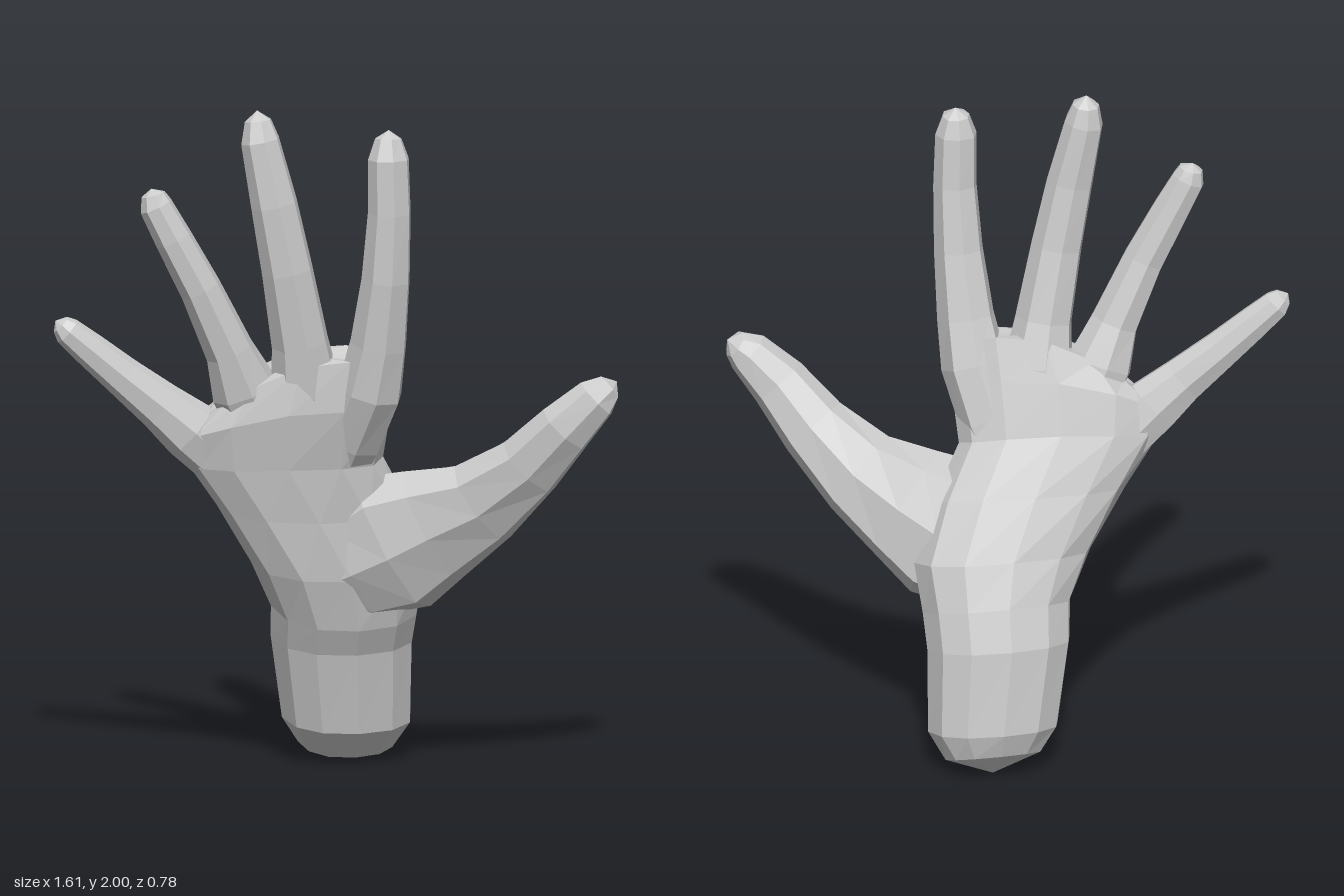
import * as THREE from 'three';

const V = (x, y, z) => new THREE.Vector3(x, y, z);
const material = new THREE.MeshStandardMaterial({ color: 0xcccccc, flatShading: true, side: THREE.DoubleSide });

// Skin a stack of rings and close both ends with fans
function loft(name, rings, startTip, endTip) {
  const n = rings[0].length;
  const points = [...rings.flat(), startTip, endTip];
  const start = points.length - 2, end = points.length - 1, last = (rings.length - 1) * n;
  const index = [];
  for (let j = 0; j < n; j++) {
    const k = (j + 1) % n;
    for (let i = 0; i < rings.length - 1; i++) {
      const a = i * n + j, b = i * n + k, c = b + n, d = a + n;
      index.push(a, d, b, b, d, c);
    }
    index.push(start, j, k, end, last + k, last + j);
  }
  const geometry = new THREE.BufferGeometry().setFromPoints(points);
  geometry.setIndex(index);
  geometry.computeVertexNormals();
  const mesh = new THREE.Mesh(geometry, material);
  mesh.name = name;
  return mesh;
}

// Slightly squared ellipse around a centre; bow lifts the middle of the ring
function ring(centre, w, n, rw, rn, sides, bow = 0) {
  const round = (v) => Math.sign(v) * Math.pow(Math.abs(v), 0.88);
  return Array.from({ length: sides }, (_, j) => {
    const a = (j / sides) * Math.PI * 2, u = round(Math.cos(a)), v = round(Math.sin(a));
    const p = centre.clone().addScaledVector(w, u * rw).addScaledVector(n, v * rn);
    p.y += bow * (1 - u * u);
    return p;
  });
}

const tangent = (list, i) =>
  list[Math.min(i + 1, list.length - 1)].clone().sub(list[Math.max(i - 1, 0)]).normalize();

// Digit: stations are [x, y, z, half width, half depth], then a small apex
function digit(name, stations, tip) {
  const centres = stations.map(([x, y, z]) => V(x, y, z));
  const path = [...centres, V(...tip)];
  const rings = stations.map(([, , , rw, rn], i) => {
    const t = tangent(path, i);
    const w = t.clone().cross(V(0, 0, 1)).normalize();
    return ring(centres[i], w, w.clone().cross(t), rw, rn, 8);
  });
  return loft(name, rings, centres[0], V(...tip));
}

// Wrist and palm: each section runs from its outer edge to its thumb edge
function palm() {
  const sections = [
    // outer edge, thumb edge, half depth, bow
    [V(-0.02, 0.05, -0.26), V(0.27, 0.05, -0.27), 0.11, 0],
    [V(-0.075, 0.13, -0.235), V(0.315, 0.13, -0.235), 0.16, 0],
    [V(-0.12, 0.38, -0.19), V(0.31, 0.38, -0.2), 0.175, 0],
    [V(-0.13, 0.48, -0.15), V(0.315, 0.48, -0.16), 0.18, 0],
    [V(-0.2, 0.62, -0.11), V(0.33, 0.62, -0.11), 0.17, 0],
    [V(-0.31, 0.8, -0.09), V(0.26, 0.79, -0.05), 0.14, 0],
    [V(-0.41, 0.94, -0.07), V(0.17, 0.94, 0.01), 0.115, 0.02],
    [V(-0.43, 1.02, -0.05), V(0.18, 1.1, 0.07), 0.108, 0.06],
    [V(-0.35, 1.09, -0.02), V(0.17, 1.23, 0.09), 0.08, 0.09],
  ];
  const centres = sections.map(([l, r]) => l.clone().lerp(r, 0.5));
  const rings = sections.map(([l, r, depth, bow], i) => {
    const w = r.clone().sub(l), half = w.length() / 2;
    w.normalize();
    const n = w.clone().cross(tangent(centres, i)).normalize();
    return ring(centres[i], w, n, half, depth, 12, bow);
  });
  return loft('palmAndWrist', rings, V(0.13, 0, -0.28), V(-0.085, 1.26, 0.035));
}

export function createModel() {
  const hand = new THREE.Group();
  hand.name = 'hand';
  hand.add(
    palm(),
    digit('indexFinger', [
      [0.03, 0.82, -0.06, 0.06, 0.06], [0.07, 1.0, 0.02, 0.095, 0.095], [0.11, 1.16, 0.085, 0.098, 0.11],
      [0.127, 1.3, 0.12, 0.085, 0.095], [0.14, 1.5, 0.158, 0.073, 0.08], [0.146, 1.7, 0.178, 0.065, 0.066],
      [0.142, 1.86, 0.182, 0.062, 0.06], [0.143, 1.92, 0.178, 0.04, 0.04],
    ], [0.145, 1.945, 0.175]),
    digit('middleFinger', [
      [-0.03, 0.9, -0.04, 0.07, 0.06], [-0.07, 1.16, 0.025, 0.105, 0.1], [-0.093, 1.3, 0.05, 0.086, 0.085],
      [-0.137, 1.52, 0.073, 0.077, 0.074], [-0.178, 1.72, 0.078, 0.07, 0.066],
      [-0.218, 1.91, 0.068, 0.058, 0.058], [-0.223, 1.97, 0.062, 0.04, 0.04],
    ], [-0.225, 2.0, 0.06]),
    digit('ringFinger', [
      [-0.15, 0.92, -0.05, 0.07, 0.06], [-0.25, 1.16, 0.0, 0.1, 0.085], [-0.3, 1.28, 0.02, 0.073, 0.07],
      [-0.39, 1.47, 0.032, 0.062, 0.06], [-0.47, 1.62, 0.028, 0.056, 0.053],
      [-0.522, 1.72, 0.02, 0.05, 0.045], [-0.53, 1.755, 0.018, 0.036, 0.034],
    ], [-0.535, 1.772, 0.016]),
    digit('littleFinger', [
      [-0.25, 0.89, -0.06, 0.08, 0.07], [-0.4, 1.035, -0.05, 0.09, 0.074], [-0.49, 1.11, -0.055, 0.073, 0.061],
      [-0.6, 1.2, -0.066, 0.06, 0.053], [-0.7, 1.285, -0.076, 0.051, 0.046],
      [-0.765, 1.34, -0.082, 0.043, 0.04], [-0.785, 1.36, -0.084, 0.03, 0.027],
    ], [-0.8, 1.372, -0.085]),
    // Broad thumb base spreads into the palm and forms the web
    digit('thumb', [
      [-0.01, 0.56, -0.1, 0.12, 0.11], [0.1, 0.62, -0.07, 0.19, 0.145], [0.21, 0.68, -0.01, 0.225, 0.145],
      [0.315, 0.74, 0.05, 0.185, 0.125], [0.44, 0.815, 0.135, 0.138, 0.1], [0.56, 0.935, 0.225, 0.105, 0.088],
      [0.65, 1.055, 0.295, 0.087, 0.078], [0.735, 1.145, 0.33, 0.067, 0.062], [0.775, 1.175, 0.33, 0.042, 0.042],
    ], [0.798, 1.192, 0.328]),
  );
  return hand;
}
